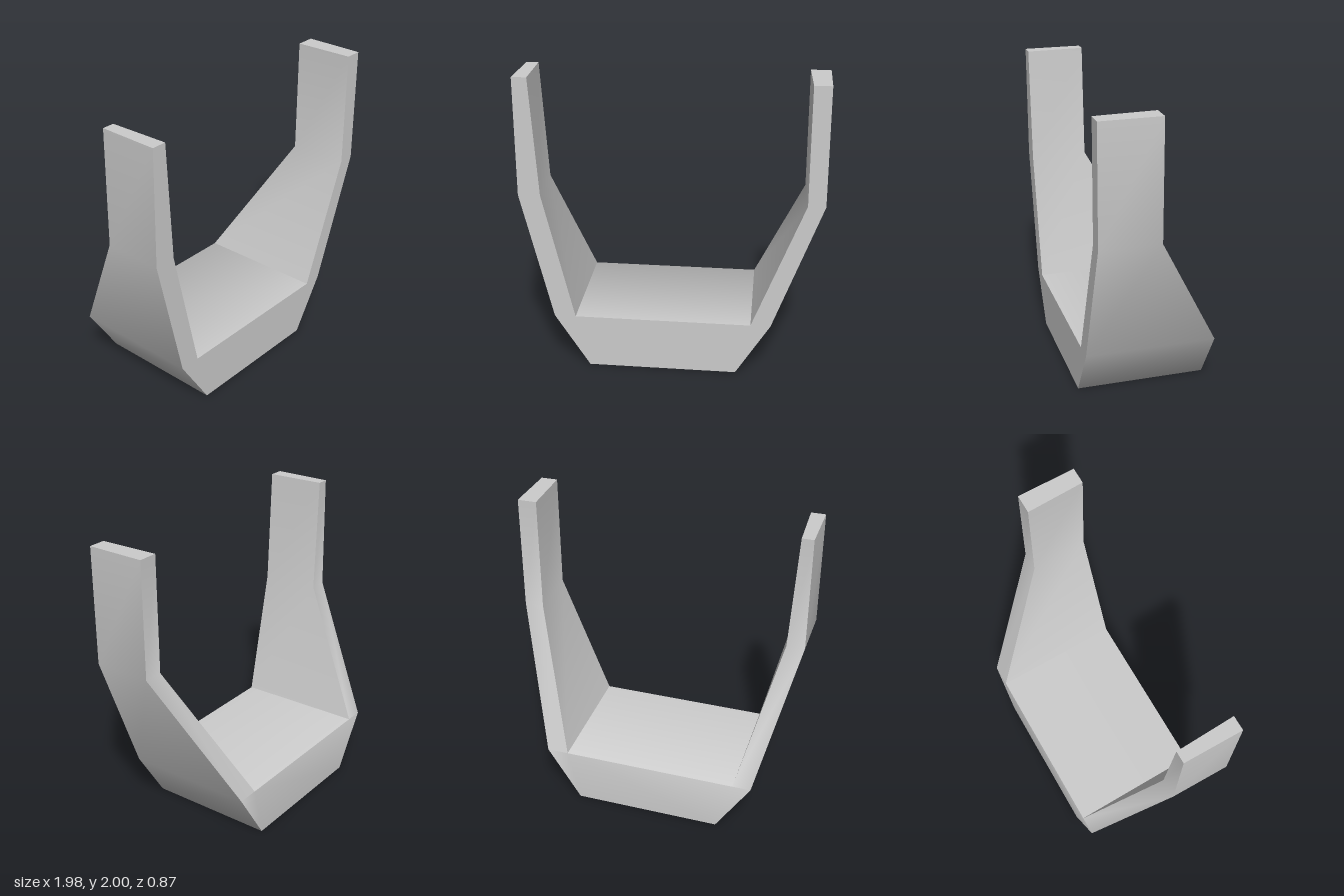
import * as THREE from 'three';
import { toCreasedNormals } from 'three/addons/utils/BufferGeometryUtils.js';

const FRONT = 0.437;

// Sections from the top of the right arm, under the floor, to the top of the left arm:
// [outer x, outer y, inner x front, inner x back, inner y, back z]
const SECTIONS = [
  [-0.988, 2, -0.89, -0.908, 2, 0.04],
  [-0.988, 1.22, -0.842, -0.865, 1.22, 0.04],
  [-0.782, 0.36, -0.64, -0.657, 0.36, -FRONT],
  [-0.55, 0, -0.64, -0.657, 0.36, -FRONT],
  [0.44, 0, 0.535, 0.522, 0.36, -FRONT],
  [0.667, 0.36, 0.535, 0.522, 0.36, -FRONT],
  [0.988, 1.22, 0.874, 0.858, 1.22, 0.04],
  [0.988, 2, 0.874, 0.858, 2, 0.04],
];

// Four corners of a section: outer front, outer back, inner back, inner front
const ring = ([ox, oy, ixf, ixb, iy, back]) => [
  new THREE.Vector3(ox, oy, FRONT),
  new THREE.Vector3(ox, oy, back),
  new THREE.Vector3(ixb, iy, back),
  new THREE.Vector3(ixf, iy, FRONT),
];

function loft(rings) {
  const points = [];
  const tri = (a, b, c) => {
    if (a.equals(b) || b.equals(c) || c.equals(a)) return; // collapsed at the floor corners
    for (const p of [a, b, c]) points.push(p.x, p.y, p.z);
  };
  const quad = (a, b, c, d) => { tri(a, b, c); tri(a, c, d); };
  for (let i = 0; i < rings.length - 1; i++) {
    const r = rings[i], s = rings[i + 1];
    for (let k = 0; k < 4; k++) {
      const n = (k + 1) % 4;
      quad(r[k], r[n], s[n], s[k]);
    }
  }
  // Arm tops
  quad(...[...rings[0]].reverse());
  quad(...rings[rings.length - 1]);
  const geometry = new THREE.BufferGeometry();
  geometry.setAttribute('position', new THREE.Float32BufferAttribute(points, 3));
  return toCreasedNormals(geometry, THREE.MathUtils.degToRad(62));
}

export function createModel() {
  const group = new THREE.Group();
  group.name = 'cradle';
  // Floor block and both upright arms in one continuous body
  const body = new THREE.Mesh(
    loft(SECTIONS.map(ring)),
    new THREE.MeshStandardMaterial({ color: 0xcccccc }),
  );
  body.name = 'cradleBody';
  group.add(body);
  return group;
}
